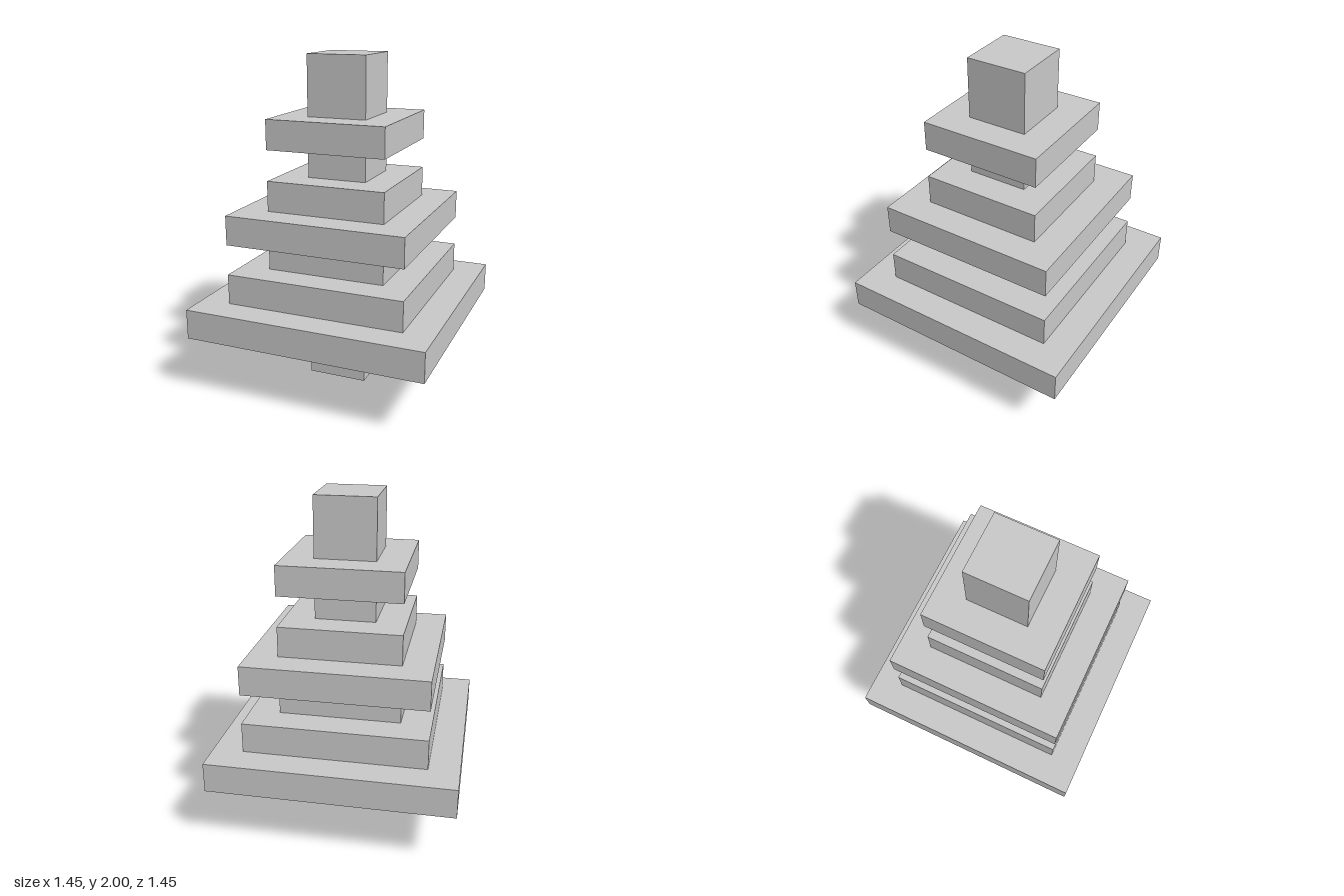
import * as THREE from 'three';

// Stylised blocky tree: a square trunk and stacked square tiers of foliage
export function createModel() {
  const group = new THREE.Group();
  group.name = 'blockTree';
  const material = new THREE.MeshStandardMaterial({ color: 0xcccccc, flatShading: true });
  const unit = 2 / 11; // half width grows in whole steps of this block size

  // name, half width in blocks, top height
  const tiers = [
    ['trunk', 1, 0.367],
    ['lowerSkirt', 4, 0.547],
    ['lowerStep', 3, 0.73],
    ['lowerNeck', 2, 0.914],
    ['middleSkirt', 3, 1.092],
    ['middleStep', 2, 1.275],
    ['upperNeck', 1, 1.459],
    ['upperSkirt', 2, 1.638],
    ['treeTop', 1, 2],
  ];

  let bottom = 0;
  for (const [name, blocks, top] of tiers) {
    const width = 2 * blocks * unit;
    const tier = new THREE.Mesh(new THREE.BoxGeometry(width, top - bottom, width), material);
    tier.name = name;
    tier.position.y = (bottom + top) / 2;
    group.add(tier);
    bottom = top;
  }
  return group;
}
